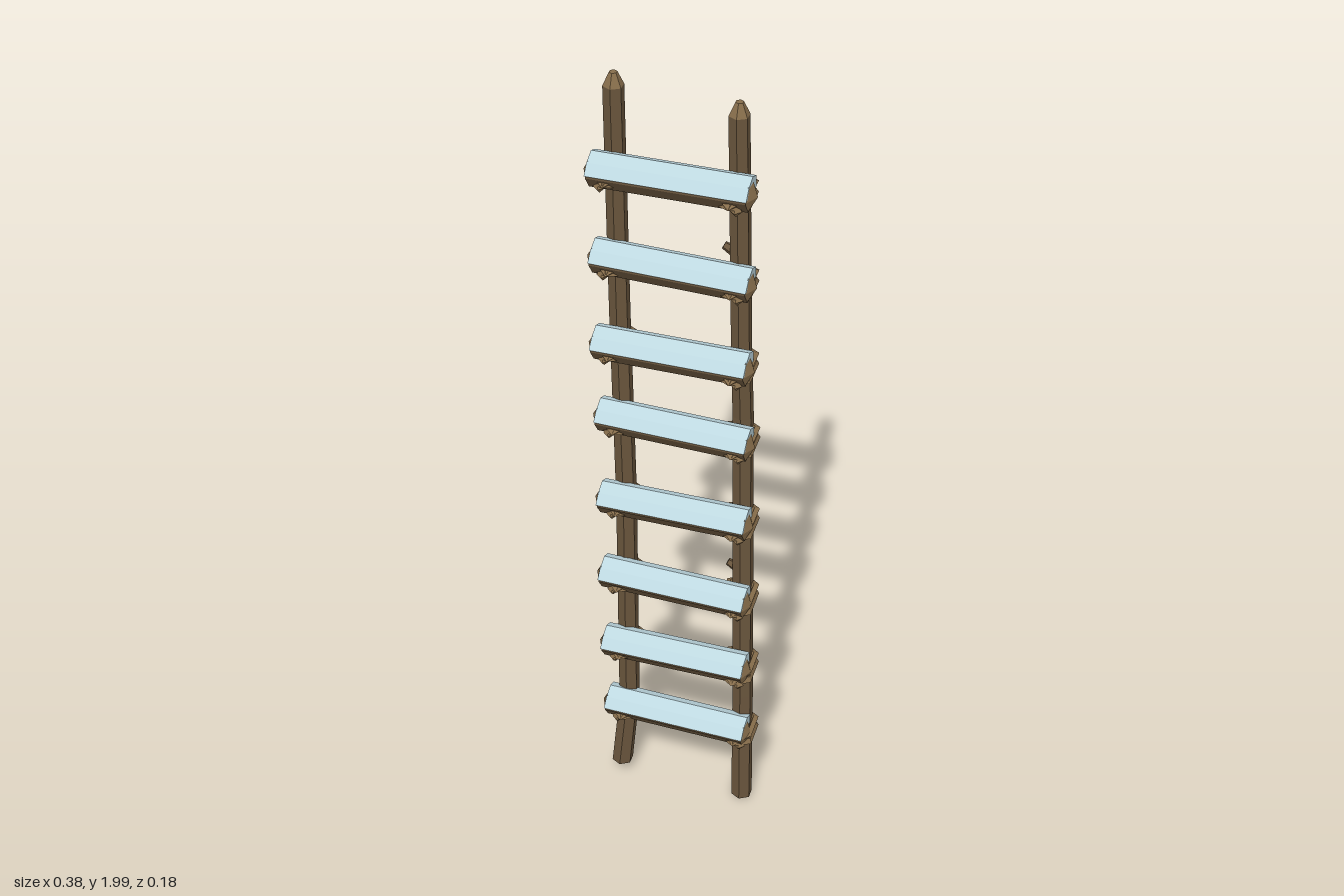
import * as THREE from 'three';

const mat = (name, color) => {
  const m = new THREE.MeshStandardMaterial({ color, flatShading: true });
  m.name = name;
  return m;
};

export function createModel() {
  const bark = mat('bark', 0x6a563d);
  const paleWood = mat('pale wood', 0x866d4b);
  const snow = mat('snow', 0xbdd7df);
  const root = new THREE.Group();
  root.name = 'ladder';

  const add = (parent, name, geometry, material, x = 0, y = 0, z = 0) => {
    const mesh = new THREE.Mesh(geometry, material);
    mesh.name = name;
    mesh.position.set(x, y, z);
    parent.add(mesh);
    return mesh;
  };

  // Crooked poles: centre points from bottom to top
  const paths = {
    right: [[-0.157, 0.05, -0.035], [-0.137, 0.26, -0.036], [-0.134, 0.9, -0.026], [-0.139, 1.4, -0.014], [-0.14, 1.97, 0.002]],
    left: [[0.15, 0.01, -0.042], [0.149, 0.35, -0.036], [0.143, 0.9, -0.028], [0.14, 1.18, -0.024], [0.138, 1.36, -0.008], [0.13, 1.95, 0.014]],
  };

  function pole(name, path) {
    const n = path.length - 1;
    const geo = new THREE.CylinderGeometry(0.025, 0.025, 1, 6, n);
    const p = geo.attributes.position;
    for (let i = 0; i < p.count; i++) {
      const k = Math.round((p.getY(i) + 0.5) * n);
      const taper = 1.04 - 0.12 * k / n;
      const [x, y, z] = path[k];
      p.setXYZ(i, p.getX(i) * taper + x, y, p.getZ(i) * taper + z);
    }
    add(root, name, geo, bark);
    // Whittled tip
    const [x, y, z] = path[n];
    add(root, name + 'Tip', new THREE.CylinderGeometry(0.009, 0.023, 0.03, 6), paleWood, x, y + 0.015, z);
  }
  pole('rightPole', paths.right);
  pole('leftPole', paths.left);

  const poleAt = (path, y) => {
    let i = 0;
    while (i < path.length - 2 && path[i + 1][1] < y) i++;
    const a = path[i], b = path[i + 1], t = (y - a[1]) / (b[1] - a[1]);
    return [a[0] + (b[0] - a[0]) * t, a[2] + (b[2] - a[2]) * t];
  };

  // Cut branch stubs on the left pole
  for (const y of [1.62, 0.74]) {
    const [x, z] = poleAt(paths.left, y);
    const stub = add(root, 'branchStub', new THREE.CylinderGeometry(0.009, 0.014, 0.03, 5), bark, x - 0.024, y, z - 0.004);
    stub.rotation.z = 1.1;
  }

  // Rung cross-sections as [z, y], extruded along x
  const bar = (points, length) => {
    const shape = new THREE.Shape(points.map(q => new THREE.Vector2(...q)));
    return new THREE.ExtrudeGeometry(shape, { depth: length, bevelEnabled: false })
      .translate(0, 0, -length / 2).rotateY(-Math.PI / 2);
  };
  const logGeo = bar([[-0.034, 0], [-0.02, -0.033], [0.014, -0.036], [0.035, -0.006], [0.035, 0]], 0.346);
  const snowGeo = bar([[-0.036, 0], [0.037, 0], [0.018, 0.022], [-0.01, 0.036], [-0.034, 0.026]], 0.35);
  const endGeo = new THREE.ConeGeometry(0.033, 0.016, 6).rotateZ(-Math.PI / 2);

  // Rope loop, drawn with a point at front and back
  const rope = depth => new THREE.TorusGeometry(0.038, 0.009, 4, 6)
    .rotateZ(Math.PI / 2).rotateX(Math.PI / 2).scale(1, 1, depth / 0.094);

  const rungs = [[0.27, 0.005], [0.48, 0.022], [0.695, 0.03], [0.92, 0.03],
    [1.15, 0.032], [1.36, 0.05], [1.575, 0.045], [1.797, 0.055]];
  rungs.forEach(([y, z], i) => {
    const rung = new THREE.Group();
    rung.name = 'rung';
    rung.position.set(-0.004, y, z);
    rung.rotation.set(0, -0.04, i % 2 ? 0.012 : -0.012);
    root.add(rung);
    add(rung, 'log', logGeo, bark);
    add(rung, 'snow', snowGeo, snow);
    for (const s of [-1, 1]) {
      const end = add(rung, 'logEnd', endGeo, paleWood, s * 0.181, -0.004, 0);
      if (s < 0) end.rotation.y = Math.PI;
    }

    // Crossed lashings holding the rung to each pole
    for (const path of [paths.right, paths.left]) {
      const [px, pz] = poleAt(path, y);
      const back = pz - 0.043;
      const front = z + Math.sign(px) * 0.006 + 0.042;
      for (const tilt of [-0.35, 0.35]) {
        const loop = add(root, 'rope', rope(front - back), paleWood, px, y - 0.016, (front + back) / 2);
        loop.rotation.set(0.06, 0, tilt);
      }
      // Loose knot under the rung
      add(root, 'knot', new THREE.OctahedronGeometry(0.014), paleWood, px + Math.sign(px) * 0.012, y - 0.03, front - 0.02);
    }
  });

  return root;
}
